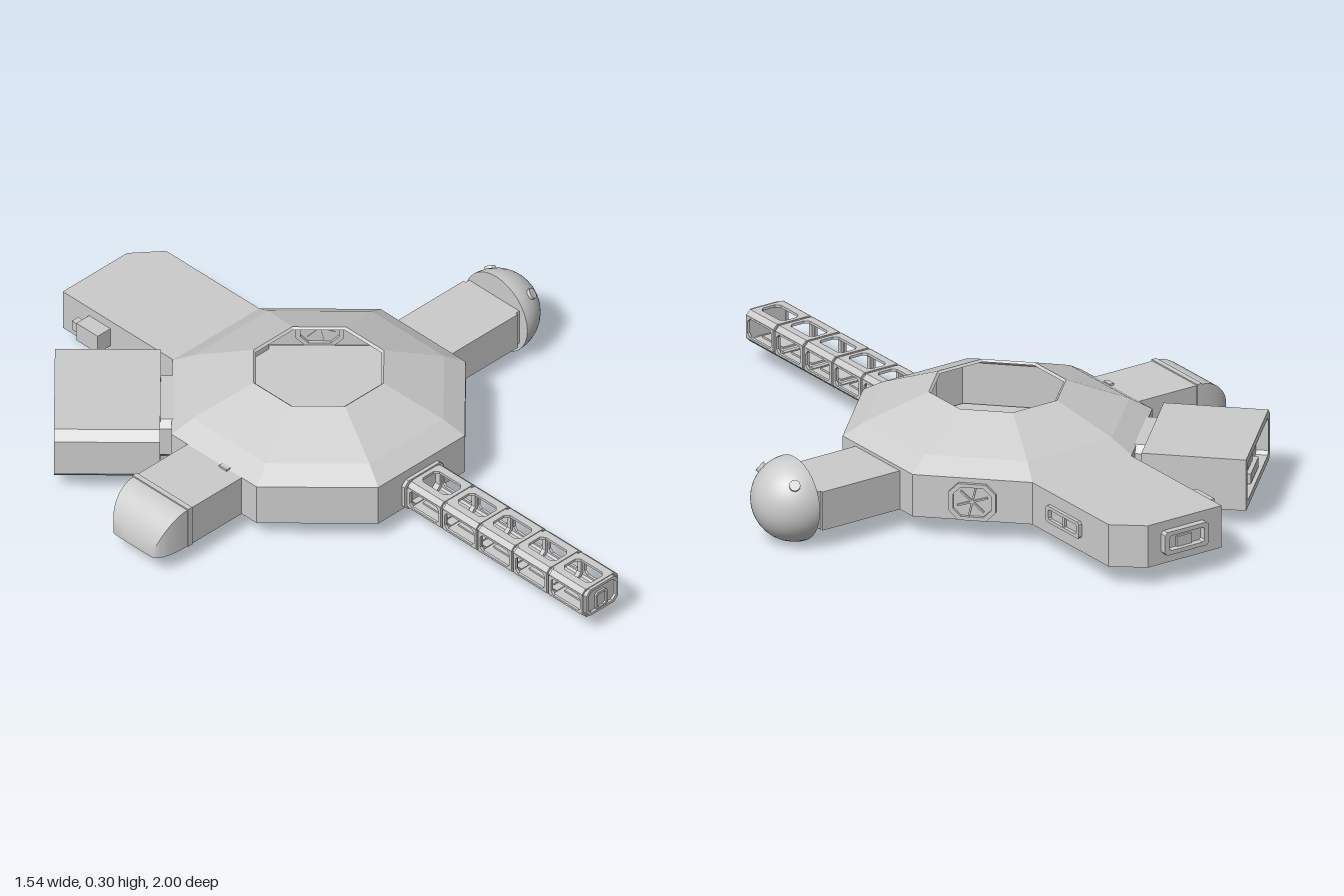
import * as THREE from 'three';
import { toCreasedNormals } from 'three/addons/utils/BufferGeometryUtils.js';

const flat = new THREE.MeshStandardMaterial({ color: 0xcccccc, flatShading: true, side: THREE.DoubleSide });
const smooth = new THREE.MeshStandardMaterial({ color: 0xcccccc });
const CX = -0.045, CZ = -0.13, APOTHEM = 0.41, BASE = 0.06, EAVE = 0.187;

function add(parent, name, geo, x = 0, y = 0, z = 0, mat = flat) {
  const mesh = new THREE.Mesh(geo, mat);
  mesh.name = name;
  mesh.position.set(x, y, z);
  parent.add(mesh);
  return mesh;
}

function group(parent, name, x = 0, y = 0, z = 0, turn = 0) {
  const g = new THREE.Group();
  g.name = name;
  g.position.set(x, y, z);
  g.rotation.y = turn;
  parent.add(g);
  return g;
}

// box given by its min and max corners
function span(parent, name, x0, x1, y0, y1, z0, z1) {
  return add(parent, name, new THREE.BoxGeometry(x1 - x0, y1 - y0, z1 - z0), (x0 + x1) / 2, (y0 + y1) / 2, (z0 + z1) / 2);
}

// rectangle with cut corners
function chamfered(w, h, c) {
  const a = w / 2, b = h / 2;
  return [[-a + c, -b], [a - c, -b], [a, -b + c], [a, b - c], [a - c, b], [-a + c, b], [-a, b - c], [-a, -b + c]]
    .map(p => new THREE.Vector2(...p));
}

// flat frame in the xy plane, centred, with a cut-corner opening
function frameGeo(w, h, c, holeW, holeH, holeC, depth) {
  const shape = new THREE.Shape(chamfered(w, h, c));
  shape.holes.push(new THREE.Path(chamfered(holeW, holeH, holeC)));
  return new THREE.ExtrudeGeometry(shape, { depth, bevelEnabled: false }).translate(0, 0, -depth / 2);
}

// octagonal ring or shell from [apothem, y] points
function octagon(points) {
  const pts = points.map(([a, y]) => new THREE.Vector2(a / Math.cos(Math.PI / 8), y));
  return new THREE.LatheGeometry(pts, 8, Math.PI / 8);
}

function buildHub(root) {
  const hub = group(root, 'hub', CX, 0, CZ);
  add(hub, 'hubShell', octagon([[0, BASE], [APOTHEM, BASE], [APOTHEM, EAVE], [0.35, 0.225], [0.182, 0.298], [0.175, 0.292]]));
  add(hub, 'hubFloor', octagon([[0.4, 0.066], [0, 0.066]]));
  for (let i = 0; i < 4; i++) {
    const a = i * Math.PI / 2;
    add(hub, 'floorLight', new THREE.CylinderGeometry(0.011, 0.011, 0.006, 12), 0.083 * Math.sin(a), 0.069, 0.083 * Math.cos(a));
  }
  // inner doorways facing each arm
  for (const a of [0, Math.PI / 2, -Math.PI / 2, Math.PI, -Math.PI * 0.75]) {
    const side = group(hub, 'innerDoorway', 0, 0, 0, a);
    add(side, 'doorFrame', frameGeo(0.13, 0.115, 0.02, 0.095, 0.085, 0.015, 0.02), 0, 0.125, APOTHEM - 0.012);
    add(side, 'doorLeaf', new THREE.BoxGeometry(0.045, 0.085, 0.012), 0.02, 0.115, APOTHEM - 0.008);
  }
  // outer hatch with spokes on the back left face
  const hatch = group(hub, 'hatch', 0, 0.118, 0, Math.PI * 0.75);
  add(hatch, 'hatchFrame', frameGeo(0.135, 0.11, 0.028, 0.108, 0.088, 0.022, 0.02), 0, 0, APOTHEM);
  for (let i = 0; i < 3; i++) {
    add(hatch, 'hatchSpoke', new THREE.BoxGeometry(0.09, 0.005, 0.008), 0, 0, APOTHEM + 0.002).rotation.z = i * Math.PI / 3 + 0.3;
  }
}

function buildTruss(root) {
  const truss = group(root, 'truss', CX, 0.108, 0.285);
  const L = 0.141;
  for (let i = 0; i < 5; i++) {
    const seg = group(truss, 'trussBay', 0, 0, 0.005 + L * (i + 0.5));
    const top = add(seg, 'topFrame', frameGeo(0.112, L - 0.008, 0.004, 0.065, 0.108, 0.012, 0.008), 0, 0.0435, 0);
    top.rotation.x = -Math.PI / 2;
    add(seg, 'floorPlate', new THREE.BoxGeometry(0.112, 0.008, L), 0, -0.0435, 0);
    add(seg, 'walkway', new THREE.BoxGeometry(0.05, 0.006, 0.1), 0, -0.037, 0);
    for (const s of [-1, 1]) {
      const side = add(seg, 'sideFrame', frameGeo(L - 0.008, 0.07, 0.004, 0.116, 0.056, 0.01, 0.008), s * 0.066, 0, 0);
      side.rotation.y = Math.PI / 2;
      for (const t of [-1, 1]) {
        add(seg, 'cornerStrip', new THREE.BoxGeometry(0.02, 0.006, L - 0.01), s * 0.061, t * 0.039, 0).rotation.z = -s * t * Math.PI / 4;
      }
    }
  }
  for (let i = 0; i <= 5; i++) {
    add(truss, 'trussRing', frameGeo(0.126, 0.09, 0.016, 0.108, 0.074, 0.014, 0.014), 0, 0, 0.007 + i * 0.1402);
  }
  // end wall with a small doorway, and the mounting frame on the hub
  add(truss, 'endWall', new THREE.ExtrudeGeometry(new THREE.Shape(chamfered(0.11, 0.078, 0.014)), { depth: 0.005, bevelEnabled: false }), 0, 0, 0.702);
  add(truss, 'endDoor', frameGeo(0.045, 0.06, 0.008, 0.032, 0.046, 0.006, 0.008), 0, -0.012, 0.709);
  add(truss, 'mountFrame', frameGeo(0.155, 0.1, 0.016, 0.108, 0.074, 0.014, 0.012), 0, 0, 0);
}

function buildBackModule(root) {
  const mod = group(root, 'backModule');
  const plan = [[-0.212, 0.5], [0.125, 0.5], [0.125, 0.91], [0.04, 0.98], [-0.212, 0.98]].map(p => new THREE.Vector2(...p));
  const body = new THREE.ExtrudeGeometry(new THREE.Shape(plan), { depth: EAVE - BASE, bevelEnabled: false });
  add(mod, 'backModuleBody', body.rotateX(-Math.PI / 2), 0, BASE, 0);
  add(mod, 'rearWindow', frameGeo(0.15, 0.07, 0.008, 0.12, 0.045, 0.006, 0.02), -0.08, 0.125, -0.99);
  add(mod, 'rearPane', new THREE.BoxGeometry(0.05, 0.03, 0.008), -0.08, 0.118, -0.983);
  add(mod, 'sideWindow', frameGeo(0.16, 0.05, 0.006, 0.135, 0.03, 0.004, 0.016), 0.128, 0.125, -0.7).rotation.y = Math.PI / 2;
  span(mod, 'sideWindowBar', 0.122, 0.132, 0.105, 0.145, -0.705, -0.695);
  span(mod, 'sideUnit', -0.262, -0.212, 0.1, 0.16, -0.875, -0.79);
  span(mod, 'sideUnitPort', -0.25, -0.225, 0.115, 0.145, -0.905, -0.875);
}

function buildDiagonalModule(root) {
  const mod = group(root, 'diagonalModule', -0.465, 0, -0.545, -Math.PI * 0.75);
  const outline = [[-0.198, 0.052], [0.18, 0.052], [0.198, 0.07], [0.198, 0.182], [0.17, 0.206], [-0.198, 0.206]];
  const section = hole => {
    const s = new THREE.Shape(outline.map(p => new THREE.Vector2(...p)));
    if (hole) s.holes.push(new THREE.Path(chamfered(0.345, 0.112, 0.01).map(p => p.add(new THREE.Vector2(-0.003, 0.128)))));
    return s;
  };
  add(mod, 'diagonalBody', new THREE.ExtrudeGeometry(section(false), { depth: 0.262, bevelEnabled: false }), 0, 0, -0.1485);
  add(mod, 'endFrame', new THREE.ExtrudeGeometry(section(true), { depth: 0.035, bevelEnabled: false }), 0, 0, 0.1135);
  // equipment inside the end recess
  span(mod, 'endConsole', -0.06, 0.07, 0.075, 0.105, 0.11, 0.138);
  span(mod, 'endScreen', -0.03, 0.04, 0.105, 0.135, 0.11, 0.125);
  span(mod, 'endLocker', -0.165, -0.145, 0.075, 0.15, 0.11, 0.135);
  // short neck to the hub
  add(mod, 'neck', frameGeo(0.24, 0.13, 0.02, 0.12, 0.08, 0.015, 0.07), 0, 0.125, -0.175);
}

function buildRightArm(root) {
  const arm = group(root, 'rightArm');
  span(arm, 'rightArmBody', -0.665, -0.44, BASE, EAVE, -0.236, -0.02);
  span(arm, 'noseBand', -0.668, -0.652, BASE, EAVE + 0.004, -0.239, -0.017);
  // rounded nose: a box whose height and width shrink toward the tip
  const nose = new THREE.BoxGeometry(1, 1, 1, 14, 2, 4).translate(0.5, 0.5, 0);
  const p = nose.attributes.position;
  for (let i = 0; i < p.count; i++) {
    const u = p.getX(i) * Math.PI / 2, c = Math.cos(u);
    p.setXYZ(i, -0.665 - 0.11 * Math.sin(u), BASE + (EAVE - BASE) * p.getY(i) * Math.max(c, 0.02),
      -0.128 - p.getZ(i) * 0.216 * (0.5 + 0.5 * Math.sqrt(c)));
  }
  // the mapping flips x and z together, so winding stays outward
  add(arm, 'nose', toCreasedNormals(nose, 0.6), 0, 0, 0, smooth);
  span(arm, 'armStep', -0.465, -0.45, BASE, EAVE + 0.006, -0.1, -0.07);
}

function buildLeftArm(root) {
  const arm = group(root, 'leftArm');
  span(arm, 'leftArmBody', 0.35, 0.63, BASE, 0.177, -0.238, -0.022);
  span(arm, 'domeCollar', 0.622, 0.648, 0.064, 0.177, -0.23, -0.03);
  span(arm, 'collarStrut', 0.622, 0.632, 0.03, 0.064, -0.14, -0.11);
  // half-sphere observatory end, flat side toward the hub
  const R = 0.124, cy = 0.124, cz = -0.122;
  const dome = new THREE.SphereGeometry(R, 32, 14, 0, Math.PI * 2, 0, Math.PI / 2).rotateZ(-Math.PI / 2);
  add(arm, 'dome', dome, 0.644, cy, cz, smooth);
  add(arm, 'domeBase', new THREE.CircleGeometry(R, 32).rotateY(-Math.PI / 2), 0.644, cy, cz);
  for (const s of [-1, 1]) {
    const dir = new THREE.Vector3(0.45, 0.61, s * 0.65).normalize();
    const port = add(arm, 'domePort', new THREE.CylinderGeometry(0.016, 0.016, 0.016, 12),
      0.644 + dir.x * R, cy + dir.y * R, cz + dir.z * R);
    port.quaternion.setFromUnitVectors(new THREE.Vector3(0, 1, 0), dir);
  }
}

export function createModel() {
  const root = new THREE.Group();
  root.name = 'baseStation';
  [buildHub, buildTruss, buildBackModule, buildDiagonalModule, buildRightArm, buildLeftArm].forEach(build => build(root));
  return root;
}
